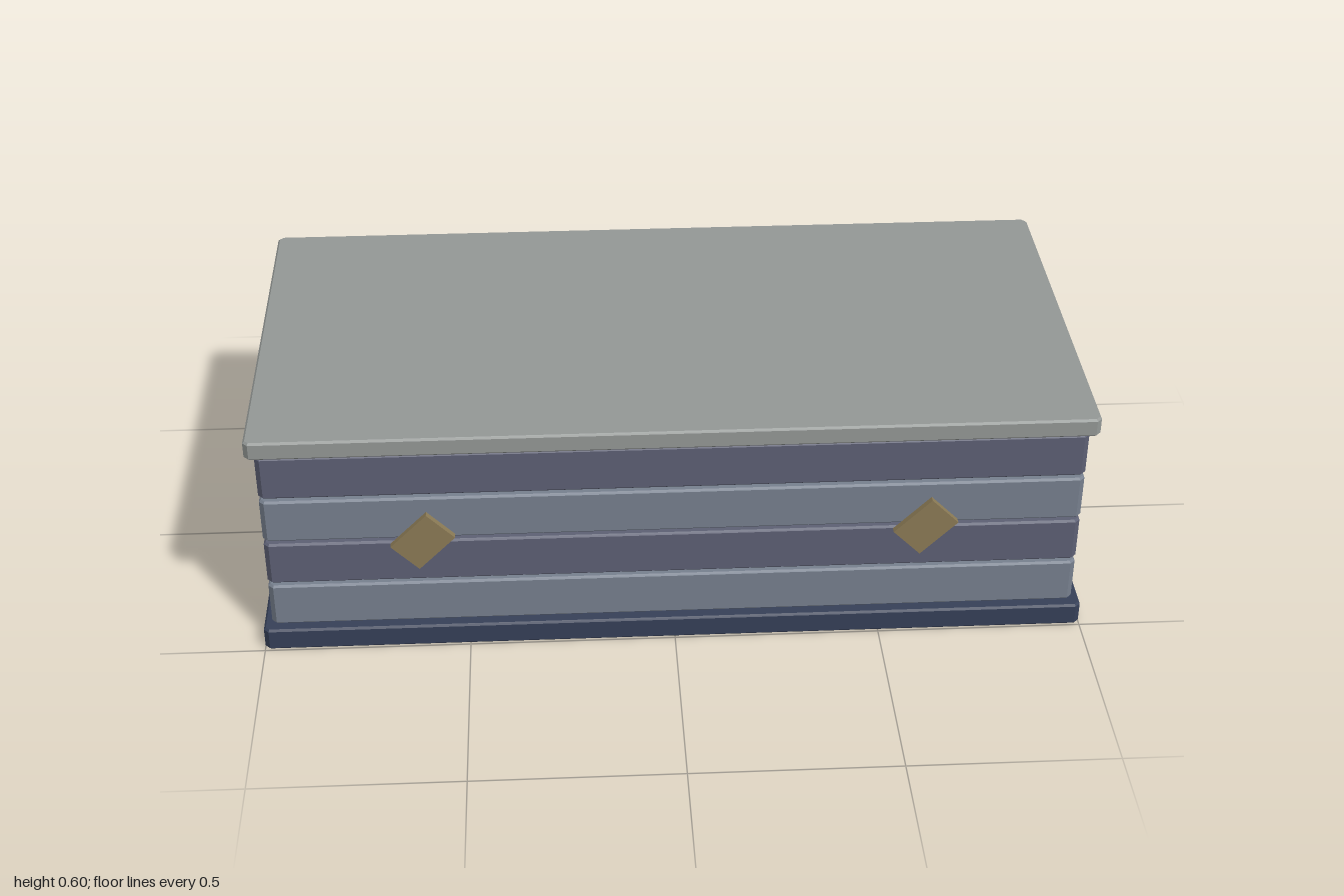
import * as THREE from 'three';

// Horizontal slab with chamfered upright corners and finely bevelled rims
function slab(name, width, depth, bottom, top, color) {
  const corner = 0.012, bevel = 0.005;
  const x = width / 2, z = depth / 2;
  const outline = new THREE.Shape([
    [x, -z + corner], [x, z - corner], [x - corner, z], [-x + corner, z],
    [-x, z - corner], [-x, -z + corner], [-x + corner, -z], [x - corner, -z],
  ].map(([a, b]) => new THREE.Vector2(a, b)));
  const geometry = new THREE.ExtrudeGeometry(outline, {
    depth: top - bottom - 2 * bevel,
    bevelEnabled: true, bevelSegments: 1,
    bevelSize: bevel, bevelThickness: bevel, bevelOffset: -bevel,
  });
  geometry.rotateX(-Math.PI / 2);
  geometry.translate(0, bottom + bevel, 0);
  const mesh = new THREE.Mesh(geometry, new THREE.MeshStandardMaterial({ color, flatShading: true }));
  mesh.name = name;
  mesh.position.z = -0.003;
  return mesh;
}

export function createModel() {
  const group = new THREE.Group();
  group.name = 'layeredCase';

  // Wider base and lid
  group.add(slab('base', 2, 1, 0, 0.058, 0x364058));
  group.add(slab('lid', 2, 1, 0.553, 0.6, 0x949896));

  // Four separate layers in alternating shades, with open gaps between them
  for (let i = 0; i < 4; i++) {
    const bottom = 0.062 + i * 0.1227;
    group.add(slab('layer' + (i + 1), 1.96, 0.96, bottom, bottom + 0.114, i % 2 ? 0x5d6074 : 0x77808e));
  }

  // Tilted plates standing just clear of the front
  const plateMaterial = new THREE.MeshStandardMaterial({ color: 0x8c7b56, flatShading: true });
  for (const [name, x] of [['rightPlate', -0.6], ['leftPlate', 0.6]]) {
    const plate = new THREE.Mesh(new THREE.BoxGeometry(0.125, 0.093, 0.016), plateMaterial);
    plate.name = name;
    plate.position.set(x, 0.313, 0.497);
    plate.rotation.z = Math.PI / 4;
    group.add(plate);
  }
  return group;
}
